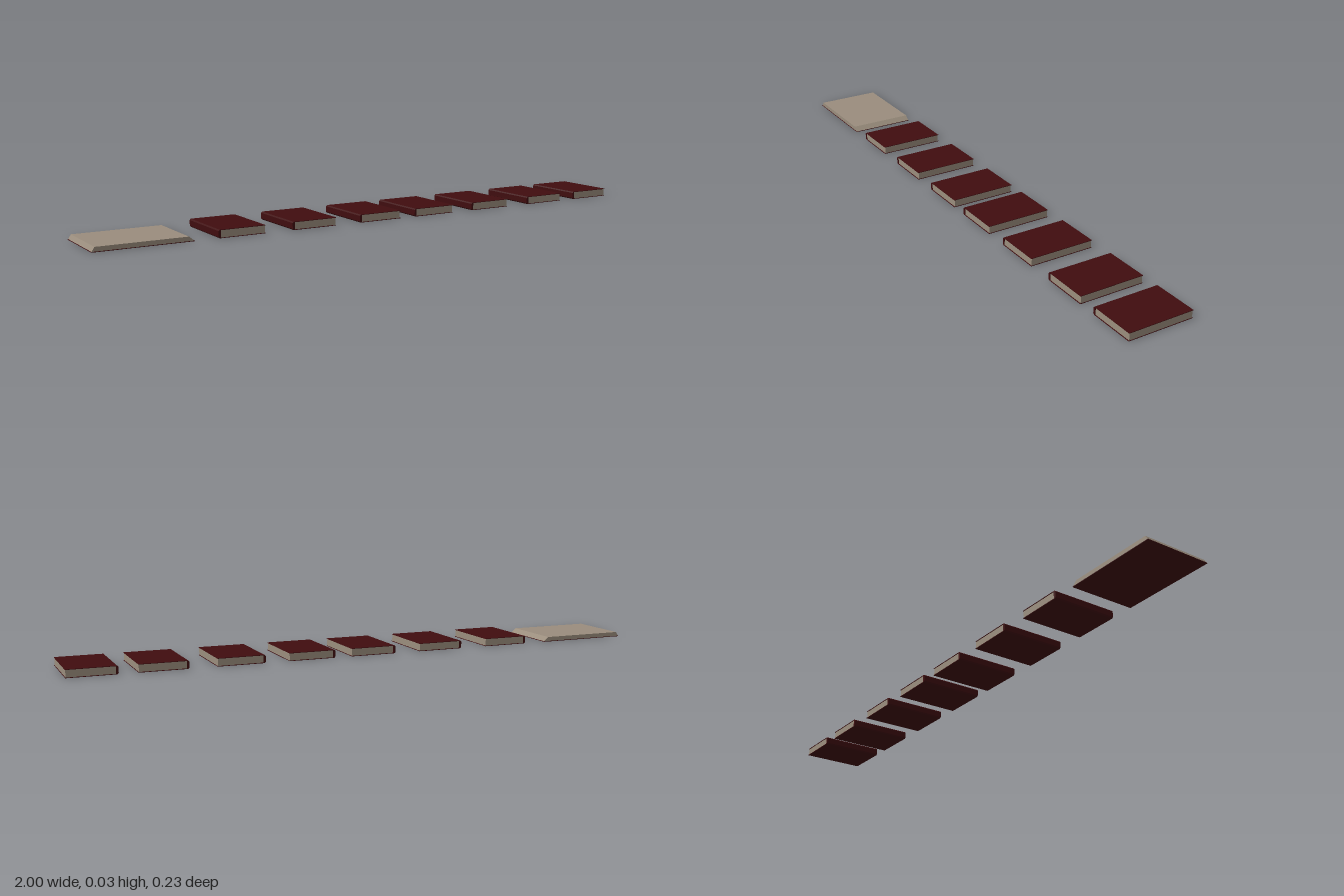
import * as THREE from 'three';

const cover = new THREE.MeshStandardMaterial({ color: 0x400d0f });
cover.name = 'dark red cover';
const paper = new THREE.MeshStandardMaterial({ color: 0x9a8d7d });
paper.name = 'aged paper';

const DEPTH = 0.226;      // book length along z
const HEIGHT = 0.027;     // closed book thickness
const WIDTH = 0.16;
const BOARD = 0.0018;     // cover board thickness
const INSET = 0.002;      // pages set back from the boards

// Extrudes an x-y outline along z, centred on z = 0
function slab(name, points, depth, material) {
  const shape = new THREE.Shape(points.map(([x, y]) => new THREE.Vector2(x, y)));
  const geometry = new THREE.ExtrudeGeometry(shape, { depth, bevelEnabled: false });
  geometry.translate(0, 0, -depth / 2);
  const mesh = new THREE.Mesh(geometry, material);
  mesh.name = name;
  return mesh;
}

// Closed book lying flat, spine towards -x
function closedBook(x) {
  const book = new THREE.Group();
  book.name = 'closedBook';
  const s = 0.008, c = 0.004;
  // Covers and chamfered spine as one C-shaped case
  book.add(slab('coverAndSpine', [
    [c, 0], [WIDTH, 0], [WIDTH, BOARD], [s, BOARD],
    [s, HEIGHT - BOARD], [WIDTH, HEIGHT - BOARD], [WIDTH, HEIGHT], [c, HEIGHT],
    [0, HEIGHT - c], [0, c],
  ], DEPTH, cover));
  // Page block
  const right = WIDTH - 0.001;
  book.add(slab('pages', [
    [s, BOARD], [right, BOARD], [right, HEIGHT - BOARD], [s, HEIGHT - BOARD],
  ], DEPTH - 2 * INSET, paper));
  book.position.x = x;
  return book;
}

// Open book: flat cover under a page block with sloping edges
function openBook() {
  const book = new THREE.Group();
  book.name = 'openBook';
  book.add(slab('openCover', [
    [-1, 0], [-0.679, 0], [-0.679, BOARD], [-1, BOARD],
  ], DEPTH, cover));
  book.add(slab('openPages', [
    [-0.999, BOARD], [-0.68, BOARD], [-0.697, 0.016], [-0.99, 0.016],
  ], DEPTH - INSET, paper));
  return book;
}

export function createModel() {
  const model = new THREE.Group();
  model.name = 'rowOfBooks';
  model.add(openBook());
  // Left edge of each closed book
  for (const x of [-0.6, -0.343, -0.092, 0.127, 0.368, 0.619, 0.84]) model.add(closedBook(x));
  return model;
}
